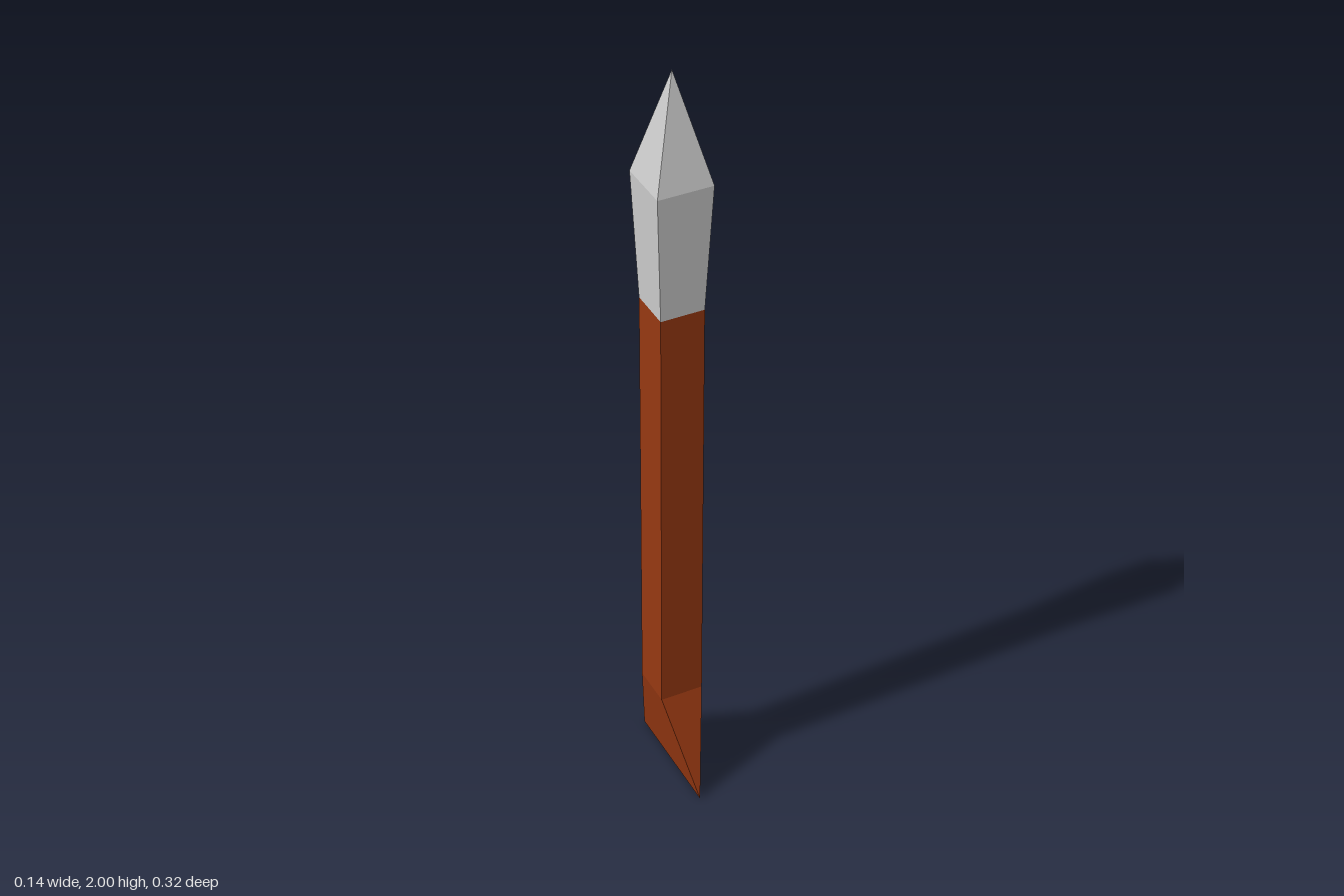
import * as THREE from 'three';

// Skins a stack of rectangular sections [y, halfX, halfZ], listed bottom to top.
function loft(sections) {
  const rings = sections.map(([y, x, z]) => [[x, z], [x, -z], [-x, -z], [-x, z]]
    .map(([cx, cz]) => new THREE.Vector3(cx, y, cz)));
  const points = [];
  const addTriangle = (a, b, c) => {
    if (new THREE.Triangle(a, b, c).getArea() > 1e-8) points.push(a, b, c); // skip collapsed ones
  };
  for (let r = 0; r < rings.length - 1; r++) {
    for (let i = 0; i < 4; i++) {
      const j = (i + 1) % 4;
      addTriangle(rings[r][i], rings[r][j], rings[r + 1][j]);
      addTriangle(rings[r][i], rings[r + 1][j], rings[r + 1][i]);
    }
  }
  const geometry = new THREE.BufferGeometry().setFromPoints(points);
  geometry.computeVertexNormals();
  return geometry;
}

function part(name, color, sections) {
  const material = new THREE.MeshStandardMaterial({ color, flatShading: true });
  const mesh = new THREE.Mesh(loft(sections), material);
  mesh.name = name;
  return mesh;
}

export function createModel() {
  const group = new THREE.Group();
  group.name = 'spear';
  const wood = 0x963812;
  const half = 0.055; // half width of the square shaft

  group.add(
    // Chisel-shaped butt: narrows to an edge in x while flaring in z
    part('buttWedge', wood, [[0, 0, 0.158], [0.27, half, half]]),
    // Straight square shaft
    part('shaft', wood, [[0.27, half, half], [1.4, half, half]]),
    // Head: flared socket and four-sided point
    part('spearhead', 0xcccccc, [[1.4, half, half], [1.73, 0.069, 0.069], [2, 0, 0]]),
  );
  return group;
}
